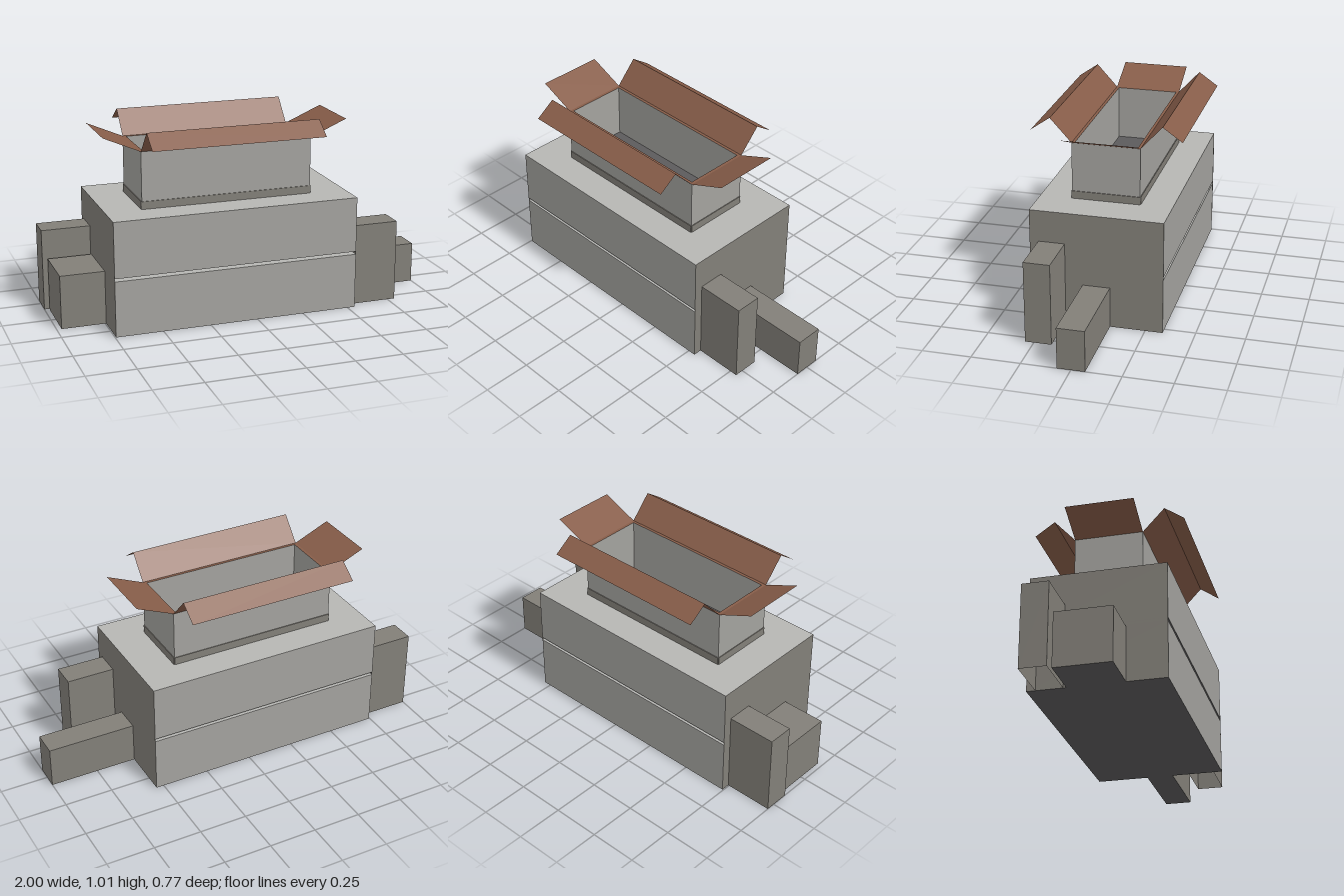
import * as THREE from 'three';

const makeMaterial = (name, color) => {
  const m = new THREE.MeshStandardMaterial({ color, side: THREE.DoubleSide });
  m.name = name;
  return m;
};

export function createModel() {
  const grey = makeMaterial('light grey panel', 0xa3a29e);
  const pale = makeMaterial('pale grey top', 0xb6b6b3);
  const stone = makeMaterial('warm grey side', 0x827f78);
  const dark = makeMaterial('dark grey floor', 0x5c5b5c);
  const brown = makeMaterial('brown flap', 0x875d49);

  const model = new THREE.Group();
  model.name = 'stackedCrates';

  const add = (name, geometry, material) => {
    const mesh = new THREE.Mesh(geometry, material);
    mesh.name = name;
    model.add(mesh);
    return mesh;
  };

  // Box from its limits; materials run +x, -x, +y, -y, +z, -z
  const box = (name, [x0, x1], [y0, y1], [z0, z1], material, openBottom = false) => {
    const g = new THREE.BoxGeometry(x1 - x0, y1 - y0, z1 - z0);
    g.translate((x0 + x1) / 2, (y0 + y1) / 2, (z0 + z1) / 2);
    if (openBottom) {
      const index = Array.from(g.index.array);
      index.splice(18, 6);
      g.setIndex(index);
      g.clearGroups();
    }
    return add(name, g, material);
  };

  // Flat four-cornered sheet
  const sheet = (name, corners, material) => {
    const g = new THREE.BufferGeometry();
    g.setAttribute('position', new THREE.Float32BufferAttribute(corners.flat(), 3));
    g.setIndex([0, 1, 2, 0, 2, 3]);
    g.computeVertexNormals();
    return add(name, g, material);
  };

  // Main body: two stacked crates with a narrow slot between them
  const L = -0.745, R = 0.54, D = 0.34;
  const crate = [stone, stone, pale, dark, grey, grey];
  box('lowerCrate', [L, R], [0, 0.29], [-D, D], crate);
  box('upperCrate', [L, R], [0.305, 0.595], [-D, D], crate);
  for (const x of [L, R]) {
    sheet('slotEndPanel', [[x, 0.29, -D], [x, 0.305, -D], [x, 0.305, D], [x, 0.29, D]], stone);
  }

  // Side boxes against both ends
  const closed = [stone, stone, stone, dark, stone, stone];
  box('leftTallBox', [R, 0.79], [0, 0.43], [0.16, 0.295], stone, true);
  box('leftLowBox', [R, 1], [0, 0.215], [-0.07, 0.07], closed);
  box('rightTallBox', [-1, L], [0, 0.43], [-0.295, -0.16], stone, true);
  box('rightLowBox', [-0.975, L], [0, 0.28], [-0.145, 0.14], closed);

  // Open carton on top: trim, floor, four walls and brown rim
  const l = -0.555, r = 0.345, d = 0.175, t = 0.015, rim = 0.89;
  const wall = [grey, grey, brown, grey, grey, grey];
  box('cartonFloor', [l + t, r - t], [0.596, 0.605], [-d + t, d - t], dark);
  for (const s of [-1, 1]) {
    const zs = [s * d, s * (d - t)].sort((a, b) => a - b);
    box('cartonSideWall', [l, r], [0.595, rim], zs, wall);
    box('cartonSideTrim', [l, r], [0.595, 0.635], [s * (d + 0.002) - 0.002, s * (d + 0.002) + 0.002], stone);
  }
  for (const [x, s] of [[l, -1], [r, 1]]) {
    const xs = [x, x - s * t].sort((a, b) => a - b);
    box('cartonEndWall', xs, [0.595, rim], [-d + t, d - t], wall);
    box('cartonEndTrim', [x + s * 0.002 - 0.002, x + s * 0.002 + 0.002], [0.595, 0.635], [-d, d], stone);
  }

  // Long flaps rise outward, then fold down
  for (const s of [-1, 1]) {
    const profile = [[rim, d], [1.01, 0.285], [0.94, 0.385]];
    for (let i = 0; i < 2; i++) {
      const [y0, z0] = profile[i], [y1, z1] = profile[i + 1];
      sheet(i ? 'longFlapTip' : 'longFlap',
        [[l, y0, s * z0], [r, y0, s * z0], [r, y1, s * z1], [l, y1, s * z1]], brown);
    }
  }

  // Short end flaps
  for (const [x0, x1] of [[l, L], [r, R]]) {
    sheet('endFlap', [[x0, rim, -d], [x0, rim, d], [x1, 0.973, d], [x1, 0.973, -d]], brown);
  }

  return model;
}
